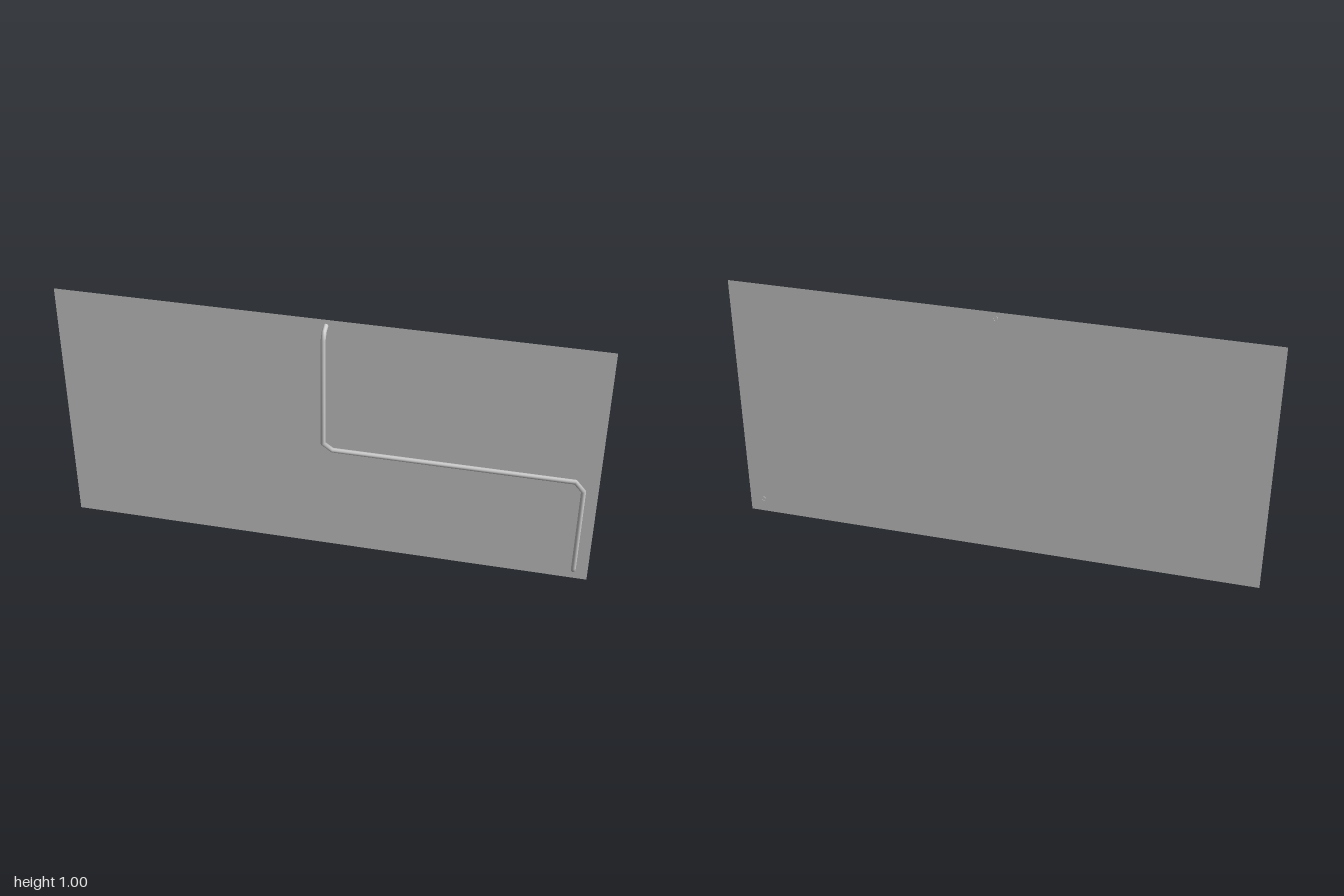
import * as THREE from 'three';

const V = (x, y, z) => new THREE.Vector3(x, y, z);

// Sweep a round section along a polyline, cutting every corner on its mitre plane.
function mitredPipe(points, radius, sides) {
  const zAxis = V(0, 0, 1);
  const dirs = points.slice(1).map((p, i) => p.clone().sub(points[i]).normalize());
  const last = points.length - 1;
  const side = V(1, 0, 0);
  const up = new THREE.Vector3().crossVectors(dirs[0], side);
  const pos = [], index = [];
  let ring = [];
  for (let j = 0; j < sides; j++) {
    const a = (j / sides) * Math.PI * 2;
    ring.push(points[0].clone()
      .addScaledVector(side, Math.cos(a) * radius)
      .addScaledVector(up, Math.sin(a) * radius));
  }
  points.forEach((p, i) => {
    // both ends are cut parallel to the wall
    const normal = i === 0 || i === last ? zAxis : dirs[i - 1].clone().add(dirs[i]).normalize();
    const dir = dirs[Math.max(i - 1, 0)];
    ring = ring.map((v) => {
      const t = p.clone().sub(v).dot(normal) / dir.dot(normal);
      return v.clone().addScaledVector(dir, t);
    });
    ring.forEach((v) => pos.push(v.x, v.y, v.z));
    if (i === 0) return;
    for (let j = 0; j < sides; j++) {
      const k = (j + 1) % sides;
      const a = (i - 1) * sides + j, b = (i - 1) * sides + k;
      const c = i * sides + j, d = i * sides + k;
      index.push(a, b, c, b, d, c);
    }
  });
  const geo = new THREE.BufferGeometry();
  geo.setAttribute('position', new THREE.Float32BufferAttribute(pos, 3));
  geo.setIndex(index);
  geo.computeVertexNormals();
  return geo;
}

export function createModel() {
  const model = new THREE.Group();
  model.name = 'wallWithPipe';
  const material = new THREE.MeshStandardMaterial({ color: 0xcccccc, side: THREE.DoubleSide });

  // thin wall panel
  const wall = new THREE.Mesh(new THREE.PlaneGeometry(2, 1), material);
  wall.name = 'wall';
  wall.position.set(0, 0.5, -0.026);
  model.add(wall);

  // pipe: out of the wall, down, across and down, back into the wall
  const z = 0.0205;
  const path = [
    V(0, 0.976, -0.029), V(0, 0.968, 0.003), V(0, 0.942, z),
    V(0, 0.505, z), V(0.035, 0.48, z),
    V(0.915, 0.48, z), V(0.947, 0.443, z),
    V(0.947, 0.089, z), V(0.947, 0.064, 0.003), V(0.947, 0.057, -0.027),
  ];
  const pipe = new THREE.Mesh(mitredPipe(path, 0.0088, 10), material);
  pipe.name = 'pipe';
  model.add(pipe);

  return model;
}
